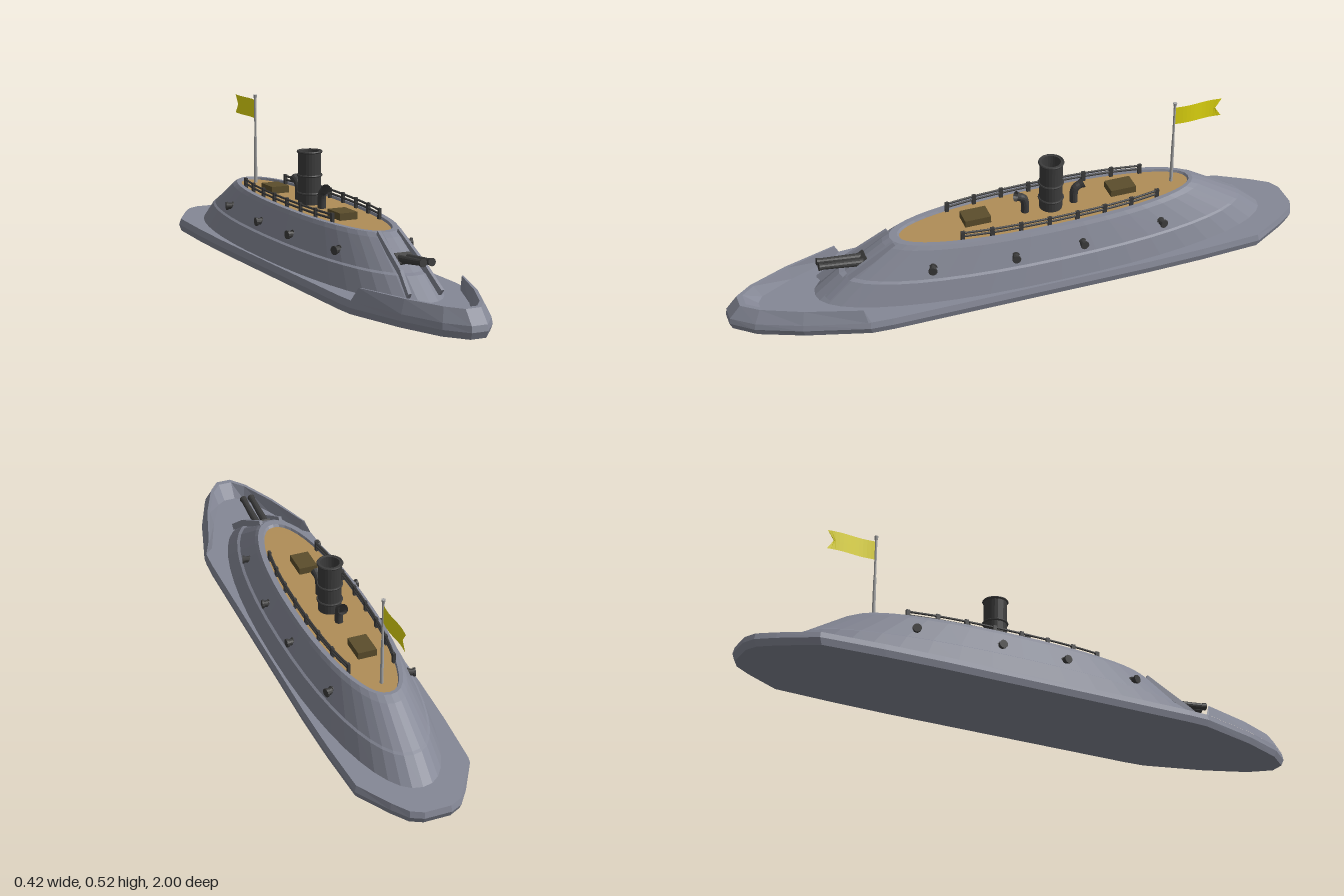
import * as THREE from 'three';

const V = (x, y, z) => new THREE.Vector3(x, y, z);
const material = (color, extra = {}) => new THREE.MeshStandardMaterial({ color, flatShading: true, ...extra });
const armour = material(0x858896);
const planks = material(0xb08d57);
const iron = material(0x3c3c3c);
const ironOpen = material(0x3c3c3c, { side: THREE.DoubleSide });
const hatchBrown = material(0x5c4e2c);
const poleGrey = material(0xa8a8a8);
const flagYellow = material(0xe6dc10, { side: THREE.DoubleSide });

export function createModel() {
  const model = new THREE.Group();

  function add(name, geometry, mat, parent = model) {
    const mesh = new THREE.Mesh(geometry, mat);
    mesh.name = name;
    parent.add(mesh);
    return mesh;
  }

  // Skin a stack of point rows, optionally closed around and capped at both ends
  function loft(rows, { closed = true, capBottom = false, capTop = false } = {}) {
    const pos = [];
    const tri = (...pts) => pts.forEach((p) => pos.push(p.x, p.y, p.z));
    const n = rows[0].length;
    for (let r = 0; r < rows.length - 1; r++) {
      for (let i = 0; i < (closed ? n : n - 1); i++) {
        const j = (i + 1) % n;
        const a = rows[r][i], b = rows[r][j], c = rows[r + 1][j], d = rows[r + 1][i];
        tri(a, d, c);
        tri(a, c, b);
      }
    }
    const cap = (row, up) => {
      const mid = V(0, row[0].y, 0);
      row.forEach((p, i) => {
        const q = row[(i + 1) % n];
        up ? tri(mid, q, p) : tri(mid, p, q);
      });
    };
    if (capBottom) cap(rows[0], false);
    if (capTop) cap(rows[rows.length - 1], true);
    const g = new THREE.BufferGeometry();
    g.setAttribute('position', new THREE.Float32BufferAttribute(pos, 3));
    g.computeVertexNormals();
    return g;
  }

  // Straight round bar between two points
  function bar(name, a, b, r0, r1, mat, sides = 12, parent = model) {
    const d = b.clone().sub(a);
    const mesh = add(name, new THREE.CylinderGeometry(r1, r0, d.length(), sides), mat, parent);
    mesh.position.copy(a).add(b).multiplyScalar(0.5);
    mesh.quaternion.setFromUnitVectors(V(0, 1, 0), d.normalize());
    return mesh;
  }

  const mirrored = (half) => [...half, ...half.slice().reverse().map(([x, z]) => [-x, z])];

  // Hull: plan outline from stern to bow, with a bulging side
  const outline = mirrored([[0.045, -1], [0.085, -0.98], [0.125, -0.925], [0.193, -0.81], [0.205, -0.6],
    [0.21, -0.4], [0.21, 0.5], [0.206, 0.575], [0.145, 0.785], [0.085, 0.93], [0.027, 1]]);
  const hullRow = (y, sx, sz) => outline.map(([x, z]) => V(x * sx, y, z * sz));
  add('hull', loft([hullRow(0, 0.975, 0.99), hullRow(0.022, 1, 1), hullRow(0.043, 0.97, 0.995)],
    { capBottom: true, capTop: true }), armour);

  // Raised bulwark around the bow, tapering into the deck at its ends
  const bowRow = (half, y) => mirrored([[0.2, 0.57], ...half])
    .map(([x, z], i, all) => V(x, i === 0 || i === all.length - 1 ? 0.042 : y, z));
  add('bowBulwark', loft([
    bowRow([[0.2, 0.58], [0.142, 0.783], [0.083, 0.926], [0.027, 0.997]], 0.042),
    bowRow([[0.183, 0.59], [0.126, 0.773], [0.068, 0.905], [0.026, 0.96]], 0.085),
    bowRow([[0.176, 0.595], [0.118, 0.766], [0.06, 0.895], [0.024, 0.94]], 0.085),
    bowRow([[0.168, 0.6], [0.108, 0.755], [0.05, 0.87], [0.02, 0.89]], 0.042),
  ], { closed: false }), armour);

  // Casemate: rounded rings rising from skirt to rim
  const ring = (y, w, front, back, n = 2.2, count = 44) => Array.from({ length: count }, (_, i) => {
    const t = (i / count) * Math.PI * 2, c = Math.cos(t), s = Math.sin(t);
    return V(w * Math.sign(c) * Math.abs(c) ** (2 / n), y,
      (front + back) / 2 + ((front - back) / 2) * Math.sign(s) * Math.abs(s) ** (2 / n));
  });
  add('casemate', loft([
    ring(0.04, 0.196, 0.71, -0.89),
    ring(0.11, 0.176, 0.62, -0.81),
    ring(0.115, 0.168, 0.6, -0.8),
    ring(0.2, 0.137, 0.47, -0.66),
    ring(0.213, 0.13, 0.445, -0.63),
    ring(0.213, 0.112, 0.418, -0.617),
    ring(0.204, 0.108, 0.41, -0.612),
  ]), armour);
  add('deck', loft([ring(0.203, 0.11, 0.412, -0.614), ring(0.205, 0.109, 0.411, -0.613)], { capTop: true }), planks);

  // Bow gun port, side ribs and paired guns
  const port = add('bowGunPort', new THREE.BoxGeometry(0.058, 0.046, 0.012), iron);
  port.position.set(0, 0.148, 0.547);
  port.rotation.x = -0.99;
  for (const s of [-1, 1]) {
    const path = [V(0.036 * s, 0.21, 0.442), V(0.045 * s, 0.122, 0.602), V(0.056 * s, 0.065, 0.675)];
    for (let i = 0; i < 2; i++) {
      const rib = add('bowRib', new THREE.BoxGeometry(0.011, 0.022, path[i].distanceTo(path[i + 1]) + 0.006), armour);
      rib.position.copy(path[i]).lerp(path[i + 1], 0.5);
      rib.lookAt(path[i + 1]);
    }
    const breech = V(0.015 * s, 0.143, 0.5), muzzle = V(0.015 * s, 0.165, 0.69);
    bar('bowGun', breech, muzzle, 0.014, 0.01, iron);
    bar('bowGunMuzzle', muzzle.clone().lerp(breech, 0.08), muzzle, 0.011, 0.013, iron);
  }

  // Broadside guns, four a side, splayed with the curve of the casemate
  for (const s of [-1, 1]) {
    for (const z of [0.335, 0.06, -0.175, -0.465]) {
      const u = (z + 0.1) / 0.65;
      const p = V(s * 0.155 * (1 - Math.abs(u) ** 2.2) ** (1 / 2.2), 0.147, z);
      const out = V(s, 0, u * 0.5).normalize();
      const at = (d) => p.clone().addScaledVector(out, d);
      const gun = new THREE.Group();
      gun.name = 'sideGun';
      model.add(gun);
      bar('barrel', at(-0.03), at(0.02), 0.012, 0.011, iron, 12, gun);
      bar('muzzleRing', at(0.014), at(0.021), 0.0145, 0.0145, iron, 12, gun);
      bar('barrelRing', at(-0.008), at(-0.001), 0.0145, 0.0145, iron, 12, gun);
    }
  }

  // Railings following the deck edge
  for (const s of [-1, 1]) {
    const edge = (z, y) => V(s * 0.105 * (1 - (Math.abs(z + 0.1) / 0.51) ** 2.2) ** (1 / 2.2), y, z);
    for (const y of [0.222, 0.235]) {
      const pts = Array.from({ length: 9 }, (_, i) => edge(0.22 - (0.69 * i) / 8, y));
      add('rail', new THREE.TubeGeometry(new THREE.CatmullRomCurve3(pts), 24, 0.004, 6), iron);
    }
    for (let i = 0; i < 8; i++) {
      const post = add('railPost', new THREE.BoxGeometry(0.009, 0.038, 0.013), iron);
      post.position.copy(edge(0.22 - (0.69 * i) / 7, 0.222));
    }
  }

  // Funnel with bands, open at the top
  const funnelProfile = [[0.039, 0.2], [0.039, 0.385], [0.032, 0.385], [0.032, 0.24], [0, 0.24]]
    .map(([r, y]) => new THREE.Vector2(r, y));
  add('funnel', new THREE.LatheGeometry(funnelProfile, 24), ironOpen).position.z = -0.118;
  for (const y of [0.243, 0.303, 0.383]) {
    const band = add('funnelBand', new THREE.TorusGeometry(0.04, 0.004, 6, 24), iron);
    band.rotation.x = Math.PI / 2;
    band.position.set(0, y, -0.118);
  }

  // Cowl ventilators facing ahead and astern
  for (const [z, d] of [[-0.026, 1], [-0.2, -1]]) {
    const path = new THREE.CatmullRomCurve3([V(0, 0.2, z), V(0, 0.24, z),
      V(0, 0.26, z + 0.006 * d), V(0, 0.269, z + 0.022 * d)]);
    add('ventilator', new THREE.TubeGeometry(path, 12, 0.014, 12), ironOpen);
    const mouth = add('ventilatorMouth', new THREE.CylinderGeometry(0.018, 0.014, 0.014, 12, 1, true), ironOpen);
    mouth.position.set(0, 0.271, z + 0.026 * d);
    mouth.rotation.x = d * 1.2;
  }

  // Deck hatches
  for (const z of [0.145, -0.372]) {
    add('hatch', new THREE.BoxGeometry(0.064, 0.028, 0.09), hatchBrown).position.set(-0.01, 0.215, z);
  }

  // Flagpole and swallow-tailed flag streaming aft
  bar('flagpoleLower', V(0, 0.2, -0.555), V(0, 0.37, -0.555), 0.006, 0.005, poleGrey);
  bar('flagpoleUpper', V(0, 0.37, -0.555), V(0, 0.512, -0.555), 0.004, 0.004, poleGrey);
  bar('flagpoleCap', V(0, 0.508, -0.555), V(0, 0.52, -0.555), 0.005, 0.007, poleGrey);
  const flag = new THREE.PlaneGeometry(0.168, 0.066, 12, 2);
  const fp = flag.attributes.position;
  for (let i = 0; i < fp.count; i++) {
    const u = fp.getX(i) / 0.168 + 0.5, y = fp.getY(i);
    const notch = u > 0.85 ? ((u - 0.85) / 0.15) * 0.022 * (1 - Math.abs(y) / 0.033) : 0;
    fp.setXYZ(i, 0.003 * Math.sin(u * Math.PI * 2), 0.468 + y, -0.557 - u * 0.168 + notch);
  }
  flag.computeVertexNormals();
  add('flag', flag, flagYellow);

  return model;
}
